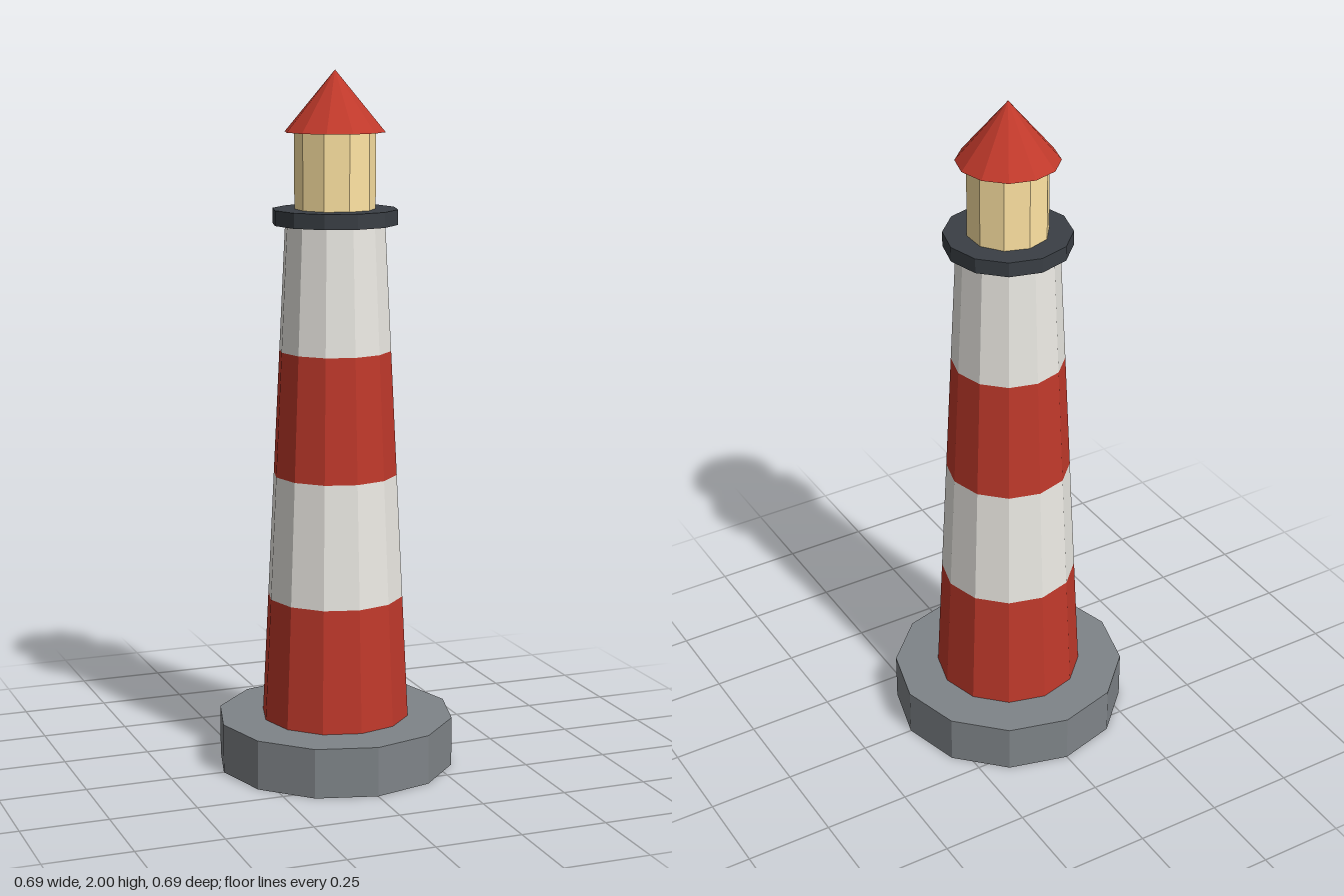
import * as THREE from 'three';

const U = 1 / 7; // base unit: the whole tower is 14 units tall
const RED = 0xc0392b, WHITE = 0xeceae4, STONE = 0x7f8488, IRON = 0x3a3f45, GLOW = 0xffe4a3;

export function createModel() {
  const model = new THREE.Group();
  model.name = 'lighthouse';
  let y = 0;

  // Stacks a faceted section on top of the previous one (sizes in units)
  function stack(name, color, bottom, top, height, sides = 12) {
    const geometry = top > 0
      ? new THREE.CylinderGeometry(top * U, bottom * U, height * U, sides)
      : new THREE.ConeGeometry(bottom * U, height * U, sides);
    const material = new THREE.MeshStandardMaterial({ color, flatShading: true });
    const mesh = new THREE.Mesh(geometry, material);
    mesh.name = name;
    mesh.position.y = (y + height / 2) * U;
    y += height;
    model.add(mesh);
  }

  // Stone foundation
  stack('base', STONE, 2.4, 2.4, 1);

  // Four tapering bands, alternating red and white
  const bands = 4, wide = 1.5, narrow = 1;
  const radius = (i) => wide + (narrow - wide) * i / bands;
  for (let i = 0; i < bands; i++) {
    stack(`towerBand${i + 1}`, i % 2 ? WHITE : RED, radius(i), radius(i + 1), 2.5);
  }

  // Gallery, lantern room and pointed roof
  stack('gallery', IRON, 1.25, 1.25, 0.3);
  stack('lanternRoom', GLOW, 0.8, 0.8, 1.5, 10);
  stack('roof', RED, 1, 0, 1.2);

  return model;
}
